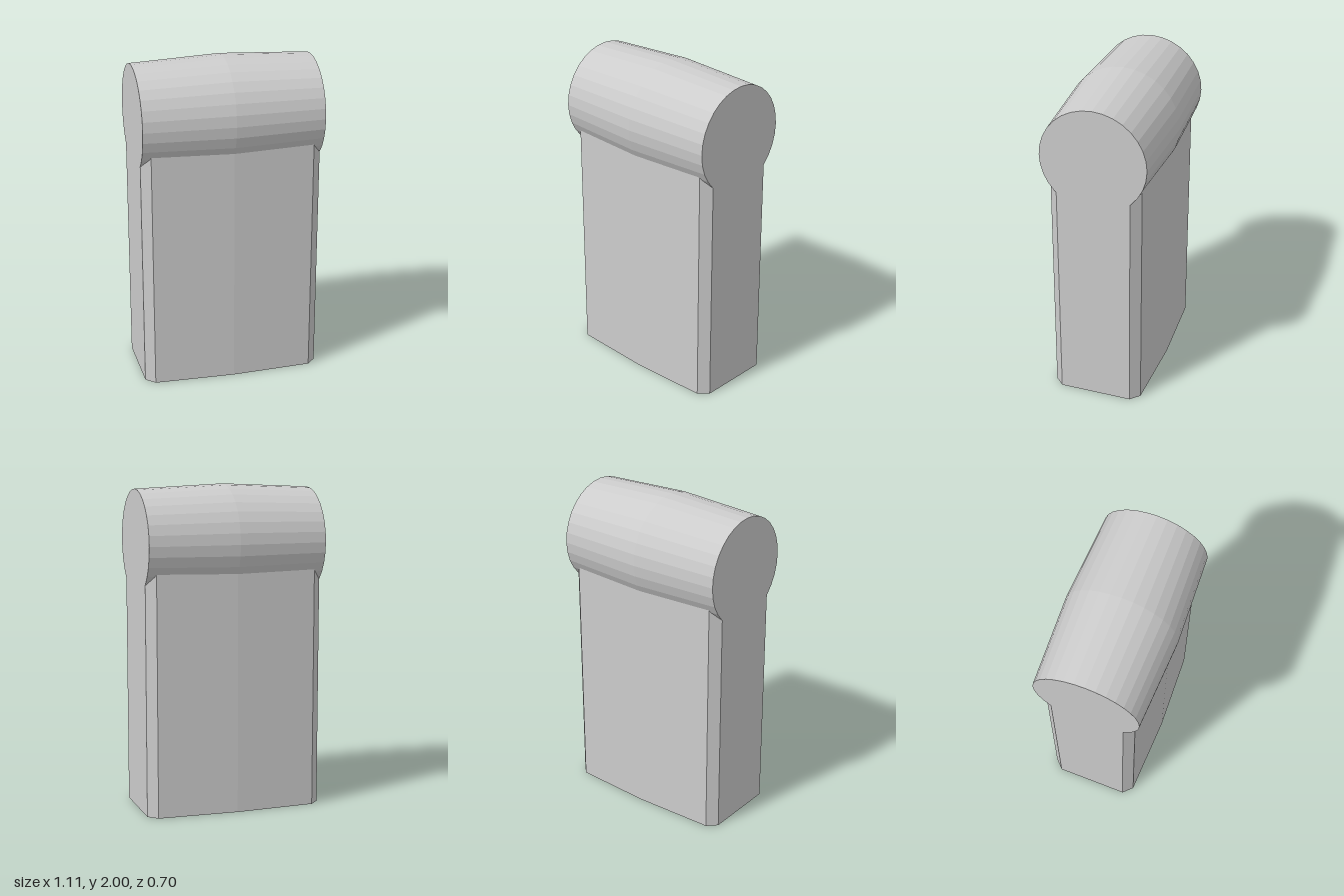
import * as THREE from 'three';

const HALF_WIDTH = 0.555;

// Split shared vertices so every facet gets its own flat normal
function faceted(geometry) {
  const flat = geometry.index ? geometry.toNonIndexed() : geometry;
  flat.computeVertexNormals();
  return flat;
}

export function createModel() {
  const group = new THREE.Group();
  const grey = new THREE.MeshStandardMaterial({ color: 0xcccccc });
  grey.name = 'lightGrey';

  const addPart = (name, geometry) => {
    const mesh = new THREE.Mesh(faceted(geometry), grey);
    mesh.name = name;
    group.add(mesh);
  };

  // Upright slab: slightly bowed front and back, chamfered corners
  const quarter = [[0, 0.3], [0.5, 0.28], [HALF_WIDTH, 0.225]];
  const outline = [
    ...quarter.map(([x, z]) => [x, -z]),
    ...quarter.slice(1).reverse(),
    ...quarter.map(([x, z]) => [-x, z]),
    ...quarter.slice(1).reverse().map(([x, z]) => [-x, -z]),
  ].map(([x, z]) => new THREE.Vector2(x, z));
  const body = new THREE.ExtrudeGeometry(new THREE.Shape(outline), {
    depth: 1.5, // ends inside the roll
    bevelEnabled: false,
  });
  body.rotateX(-Math.PI / 2);
  addPart('body', body);

  // Horizontal roll on top, widest in the middle
  const profile = [
    [0, -HALF_WIDTH], [0.325, -HALF_WIDTH], [0.35, 0],
    [0.325, HALF_WIDTH], [0, HALF_WIDTH],
  ].map(([r, y]) => new THREE.Vector2(r, y));
  const roll = new THREE.LatheGeometry(profile, 32);
  roll.rotateZ(Math.PI / 2).translate(0, 1.65, 0);
  addPart('topRoll', roll);

  return group;
}
